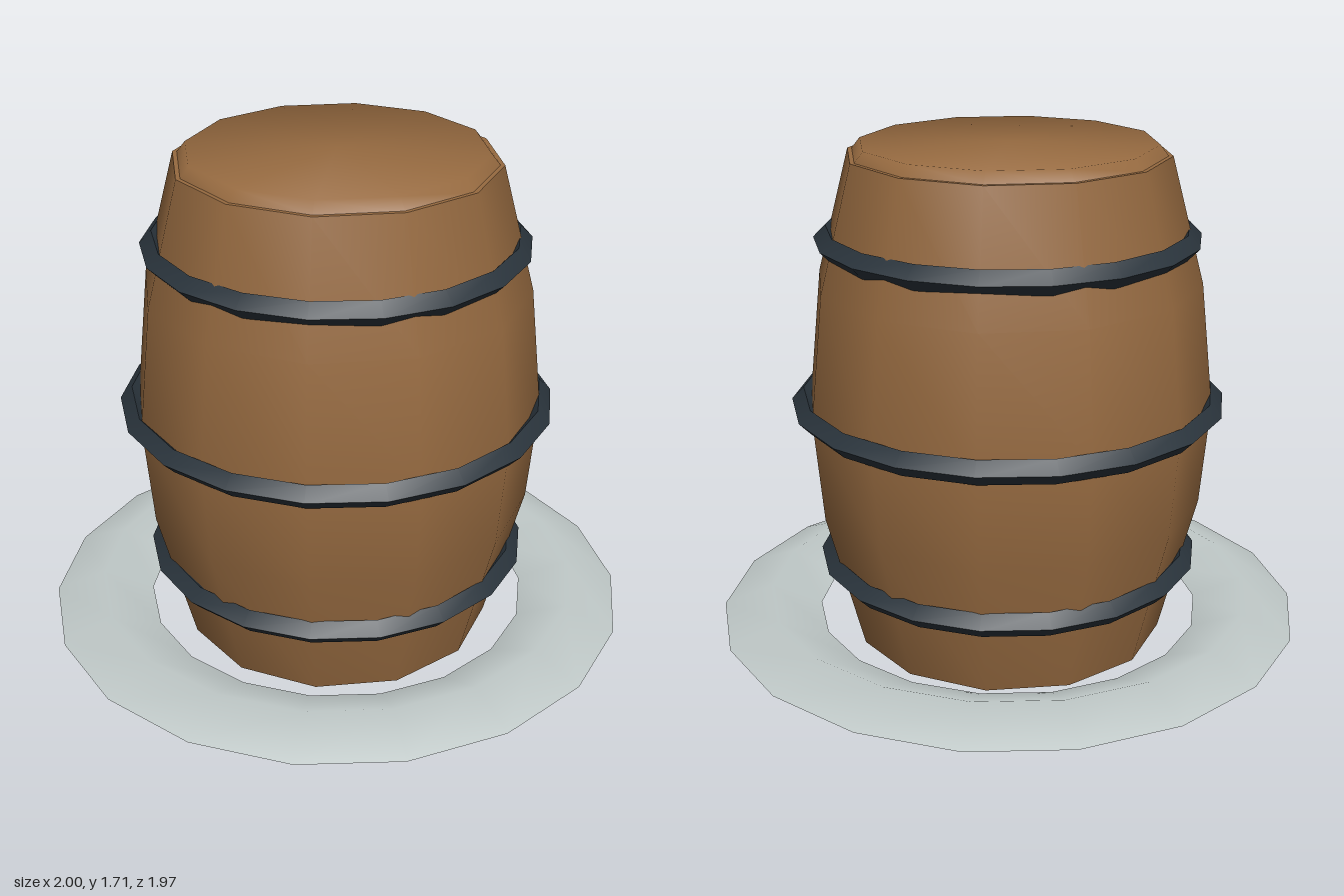
import * as THREE from 'three';
import { toCreasedNormals } from 'three/addons/utils/BufferGeometryUtils.js';

const wood = new THREE.MeshStandardMaterial({ name: 'wood', color: 0x966a40 });
const iron = new THREE.MeshStandardMaterial({ name: 'darkIron', color: 0x2a343c });
const stone = new THREE.MeshStandardMaterial({ name: 'paleGrey', color: 0xc0c9c8 });

export function createModel() {
  const group = new THREE.Group();

  const add = (name, geometry, material, y = 0) => {
    const mesh = new THREE.Mesh(geometry, material);
    mesh.name = name;
    mesh.position.y = y;
    group.add(mesh);
  };

  // Twelve-sided turned form from [radius, height] pairs, bottom to top
  const turned = (profile, crease) => toCreasedNormals(
    new THREE.LatheGeometry(profile.map(([r, y]) => new THREE.Vector2(r, y)), 12), crease);

  // Eighteen-sided ring with a diamond cross-section
  const ring = (radius, halfWidth, halfHeight) => {
    const g = new THREE.TorusGeometry(radius, halfWidth, 4, 18);
    g.rotateX(-Math.PI / 2);
    g.scale(1, halfHeight / halfWidth, 1);
    return toCreasedNormals(g, 1.0);
  };

  // Bulging barrel body and its chamfered lid
  add('barrelBody', turned([
    [0, 0.005], [0.53, 0.005], [0.655, 0.49], [0.685, 0.835],
    [0.64, 1.255], [0.53, 1.67], [0, 1.67],
  ], 0.8), wood);
  add('barrelLid', turned([[0.517, 1.668], [0.488, 1.705], [0, 1.705]], 1.0), wood);

  // Iron hoops
  add('lowerHoop', ring(0.61, 0.04, 0.041), iron, 0.285);
  add('middleHoop', ring(0.69, 0.04, 0.041), iron, 0.837);
  add('upperHoop', ring(0.597, 0.04, 0.041), iron, 1.396);

  // Wide flat ring around the foot
  add('baseRing', ring(0.83, 0.17, 0.07), stone, 0.07);

  return group;
}
